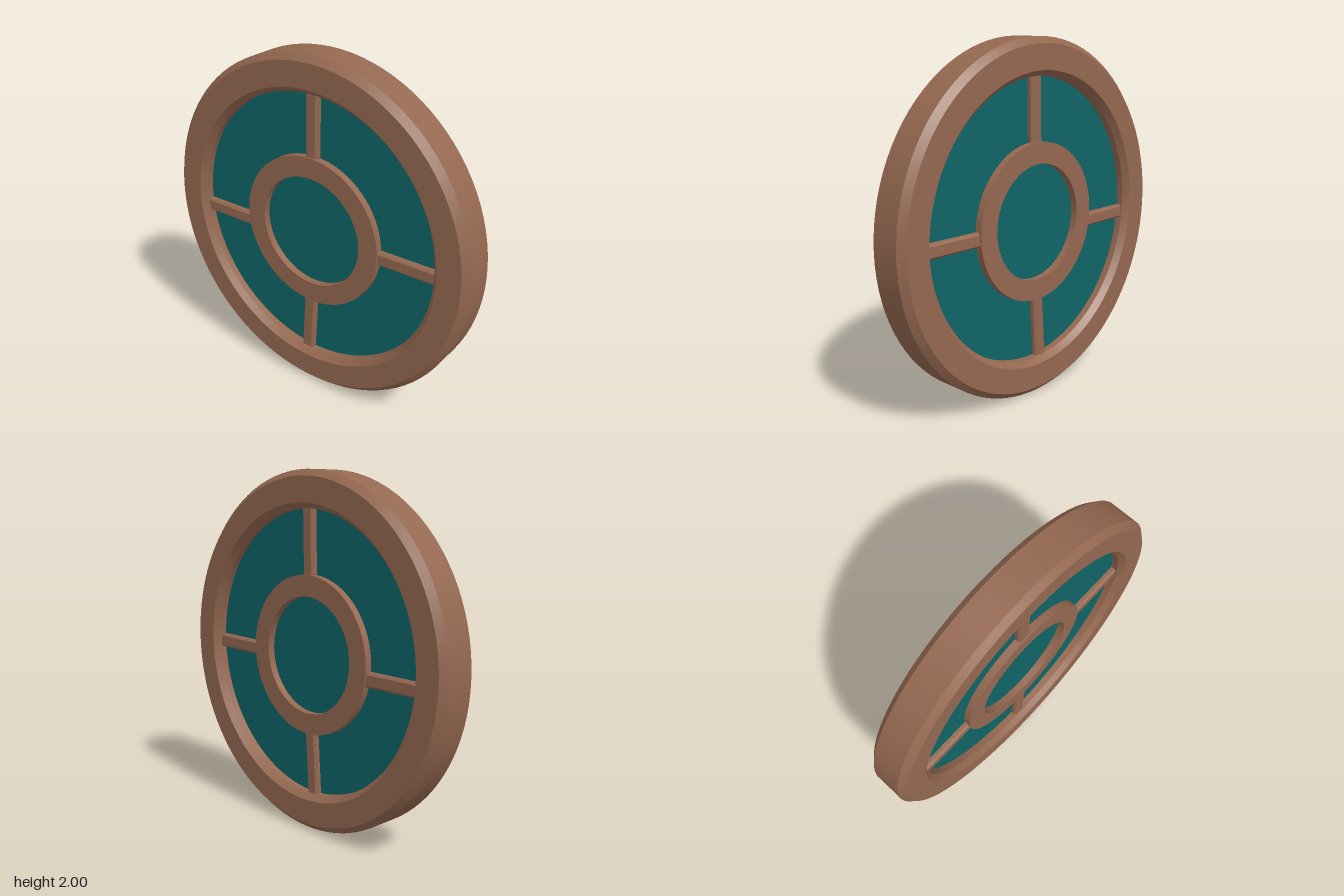
import * as THREE from 'three';
import { toCreasedNormals } from 'three/addons/utils/BufferGeometryUtils.js';

const wood = new THREE.MeshStandardMaterial({ name: 'wood brown', color: 0x946850 });
const teal = new THREE.MeshStandardMaterial({ name: 'teal glass', color: 0x0f6466 });

// Closed (radius, depth) profile turned around the x axis
function ring(profile, segments) {
  const points = [...profile, profile[0]].map(([r, d]) => new THREE.Vector2(r, d));
  const geometry = new THREE.LatheGeometry(points, segments).rotateZ(Math.PI / 2);
  return toCreasedNormals(geometry, 0.5);
}

// Bevelled bar between two points [z, y] in the plane of the window
function bar([z0, y0], [z1, y1]) {
  const w = 0.04, d = 0.078, b = 0.012;
  const section = new THREE.Shape([
    [d, -w + b], [d, w - b], [d - b, w], [-d + b, w],
    [-d, w - b], [-d, -w + b], [-d + b, -w], [d - b, -w],
  ].map(([x, y]) => new THREE.Vector2(x, y)));
  const length = Math.hypot(z1 - z0, y1 - y0);
  const geometry = new THREE.ExtrudeGeometry(section, { depth: length, bevelEnabled: false });
  geometry.rotateX(-Math.atan2(y1 - y0, z1 - z0)).translate(0, y0, z0);
  return geometry;
}

export function createModel() {
  const model = new THREE.Group();
  model.name = 'roundWindow';
  const add = (name, geometry, material) => {
    const mesh = new THREE.Mesh(geometry, material);
    mesh.name = name;
    model.add(mesh);
    return mesh;
  };

  // Heavy outer frame with chamfered edges, slightly taller than wide
  const frame = add('outerFrame', ring([
    [0.795, -0.085], [0.825, -0.12], [0.965, -0.12], [1, -0.085],
    [1, 0.085], [0.965, 0.12], [0.825, 0.12], [0.795, 0.085],
  ], 96), wood);
  frame.scale.z = 0.985;
  frame.position.y = 1;

  // Pane filling the opening
  const pane = add('pane', new THREE.CylinderGeometry(0.82, 0.82, 0.09, 96).rotateZ(Math.PI / 2), teal);
  pane.scale.z = 0.985;
  pane.position.y = 1;

  // Inner ring, a touch off centre
  const hub = add('innerRing', ring([
    [0.327, -0.087], [0.445, -0.087], [0.445, 0.087], [0.327, 0.087],
  ], 72), wood);
  hub.position.set(0, 0.995, -0.008);

  // Four slightly crooked glazing bars
  [
    ['topBar', [-0.006, 1.40], [0.0, 1.81]],
    ['bottomBar', [-0.016, 0.59], [-0.04, 0.19]],
    ['frontBar', [0.40, 0.978], [0.79, 0.985]],
    ['backBar', [-0.41, 0.928], [-0.785, 0.925]],
  ].forEach(([name, from, to]) => add(name, bar(from, to), wood));

  return model;
}
